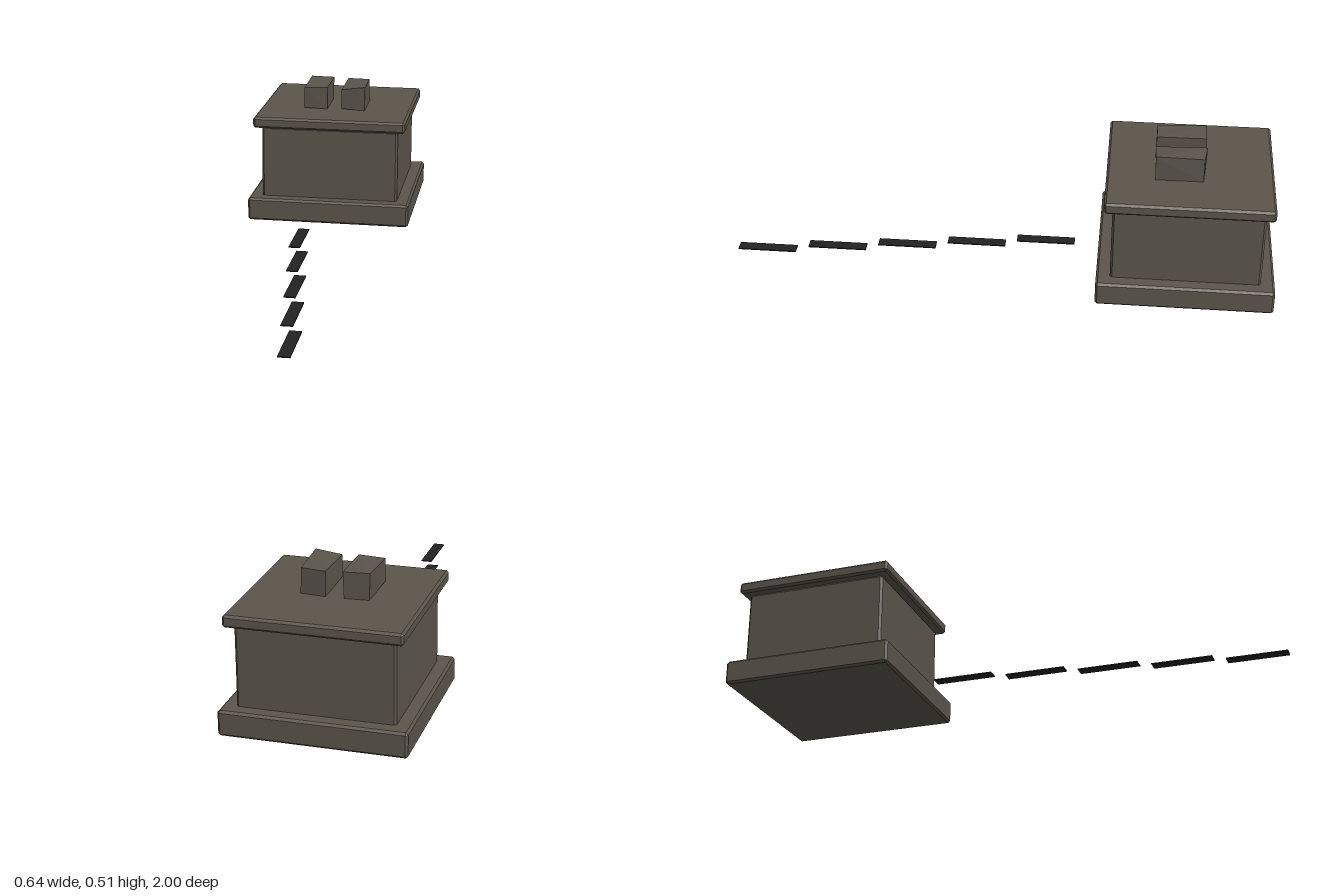
import * as THREE from 'three';
import { ConvexGeometry } from 'three/addons/geometries/ConvexGeometry.js';

const stone = new THREE.MeshStandardMaterial({ color: 0x5b554b });
stone.name = 'weathered stone';
const dark = new THREE.MeshStandardMaterial({ color: 0x222222 });
dark.name = 'dark paint';

// Box with flat chamfers on every edge, centred on the origin
function chamferedBox(w, h, d, c) {
  const points = [];
  for (const sx of [-1, 1]) for (const sy of [-1, 1]) for (const sz of [-1, 1]) {
    const x = w / 2, y = h / 2, z = d / 2;
    points.push(
      new THREE.Vector3(sx * x, sy * (y - c), sz * (z - c)),
      new THREE.Vector3(sx * (x - c), sy * y, sz * (z - c)),
      new THREE.Vector3(sx * (x - c), sy * (y - c), sz * z));
  }
  return new ConvexGeometry(points);
}

export function createModel() {
  const model = new THREE.Group();
  model.name = 'emptyPedestal';

  function add(name, geometry, material, x, y, z) {
    const mesh = new THREE.Mesh(geometry, material);
    mesh.name = name;
    mesh.position.set(x, y, z);
    model.add(mesh);
  }

  // Pedestal: base, body and cap as [name, width, bottom, top]
  const centreZ = -0.68;
  for (const [name, width, bottom, top] of [
    ['pedestalBase', 0.64, 0, 0.09],
    ['pedestalBody', 0.54, 0.082, 0.374],
    ['pedestalCap', 0.6, 0.374, 0.417],
  ]) {
    add(name, chamferedBox(width, top - bottom, width, 0.008), stone, 0, (bottom + top) / 2, centreZ);
  }

  // Broken foot stumps: slightly irregular blocks, front corners then back corners
  const stumps = {
    rightFootStump: [
      [-0.123, 0.421, -0.555], [-0.031, 0.419, -0.553], [-0.03, 0.507, -0.555], [-0.123, 0.503, -0.555],
      [-0.118, 0.416, -0.73], [-0.033, 0.416, -0.735], [-0.03, 0.509, -0.735], [-0.122, 0.511, -0.732],
    ],
    leftFootStump: [
      [0.027, 0.422, -0.555], [0.119, 0.417, -0.555], [0.121, 0.513, -0.553], [0.027, 0.501, -0.553],
      [0.03, 0.416, -0.735], [0.118, 0.416, -0.727], [0.115, 0.507, -0.727], [0.028, 0.506, -0.737],
    ],
  };
  for (const [name, corners] of Object.entries(stumps)) {
    add(name, new ConvexGeometry(corners.map((p) => new THREE.Vector3(...p))), stone, 0, 0, 0);
  }

  // Trail of thin dark strips leading away from the pedestal
  const strip = new THREE.BoxGeometry(0.043, 0.004, 0.22);
  for (let i = 0; i < 5; i++) {
    add('trailStrip' + (i + 1), strip, dark, -0.077 + 0.038 * i, 0.004, -0.156 + 0.2615 * i);
  }

  return model;
}
